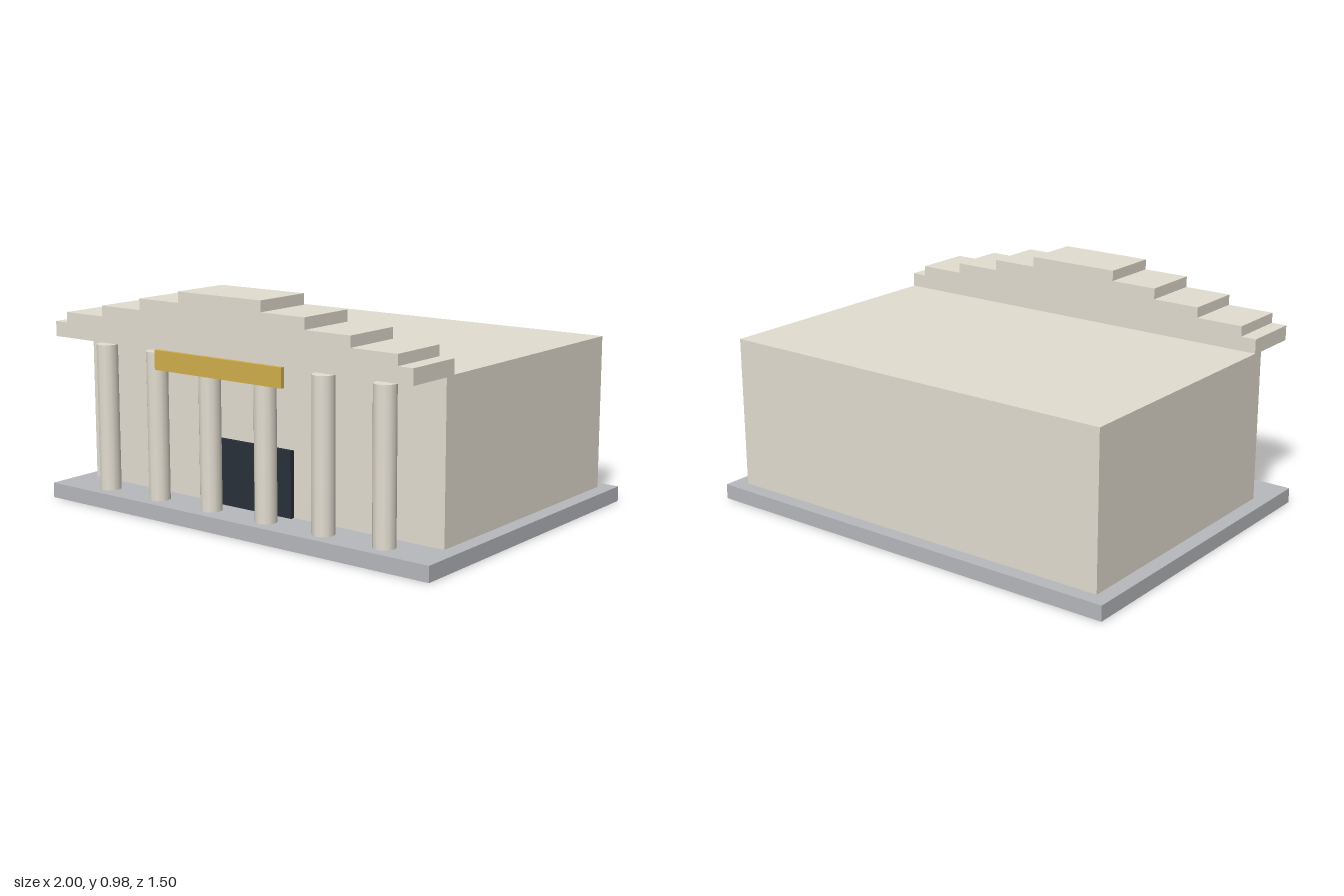
import * as THREE from 'three';

const flat = (name, color) => {
  const m = new THREE.MeshStandardMaterial({ color });
  m.name = name;
  return m;
};

export function createModel() {
  const stone = flat('stone', 0xe4ded1);
  const paving = flat('paving', 0xb8b9bd);
  const gold = flat('gold', 0xd2b04c);
  const dark = flat('darkDoor', 0x28303a);

  const model = new THREE.Group();
  model.name = 'columnedHall';

  const add = (name, geometry, material, parent = model) => {
    const mesh = new THREE.Mesh(geometry, material);
    mesh.name = name;
    parent.add(mesh);
    return mesh;
  };
  // Box centred on x, given its half width and its y and z ranges
  const block = (name, material, half, y0, y1, z0, z1) =>
    add(name, new THREE.BoxGeometry(2 * half, y1 - y0, z1 - z0), material)
      .position.set(0, (y0 + y1) / 2, (z0 + z1) / 2);

  // The hall reaches the ground through the base, a hair below its underside
  const floor = 0.067, eaves = 0.733;
  block('base', paving, 1, 0.001, floor, -0.75, 0.715);
  block('hall', stone, 0.933, 0, eaves, -0.685, 0.514);
  block('door', dark, 0.202, floor, 0.348, 0.505, 0.534);
  block('signPanel', gold, 0.333, 0.652, 0.734, 0.733, 0.75);

  // Row of columns, mirrored about the middle
  const columns = new THREE.Group();
  columns.name = 'columns';
  model.add(columns);
  const height = 0.703 - floor;
  const shaft = new THREE.CylinderGeometry(0.0467, 0.0467, height, 12);
  for (const x of [0.147, 0.44, 0.733])
    for (const side of [-1, 1])
      add('column', shaft, stone, columns).position.set(side * x, floor + height / 2, 0.625);

  // Stepped gable: [half width, top height], widest step first
  const steps = [[0.933, 0.795], [0.864, 0.84], [0.65, 0.886], [0.432, 0.934], [0.216, 0.98]];
  const right = [], left = [];
  let y = 0.73;
  for (const [half, top] of steps) {
    right.push(new THREE.Vector2(half, y), new THREE.Vector2(half, top));
    left.unshift(new THREE.Vector2(-half, top), new THREE.Vector2(-half, y));
    y = top;
  }
  const gable = new THREE.ExtrudeGeometry(new THREE.Shape([...right, ...left]),
    { depth: 0.267, bevelEnabled: false });
  add('steppedGable', gable, stone).position.z = 0.463;

  return model;
}
